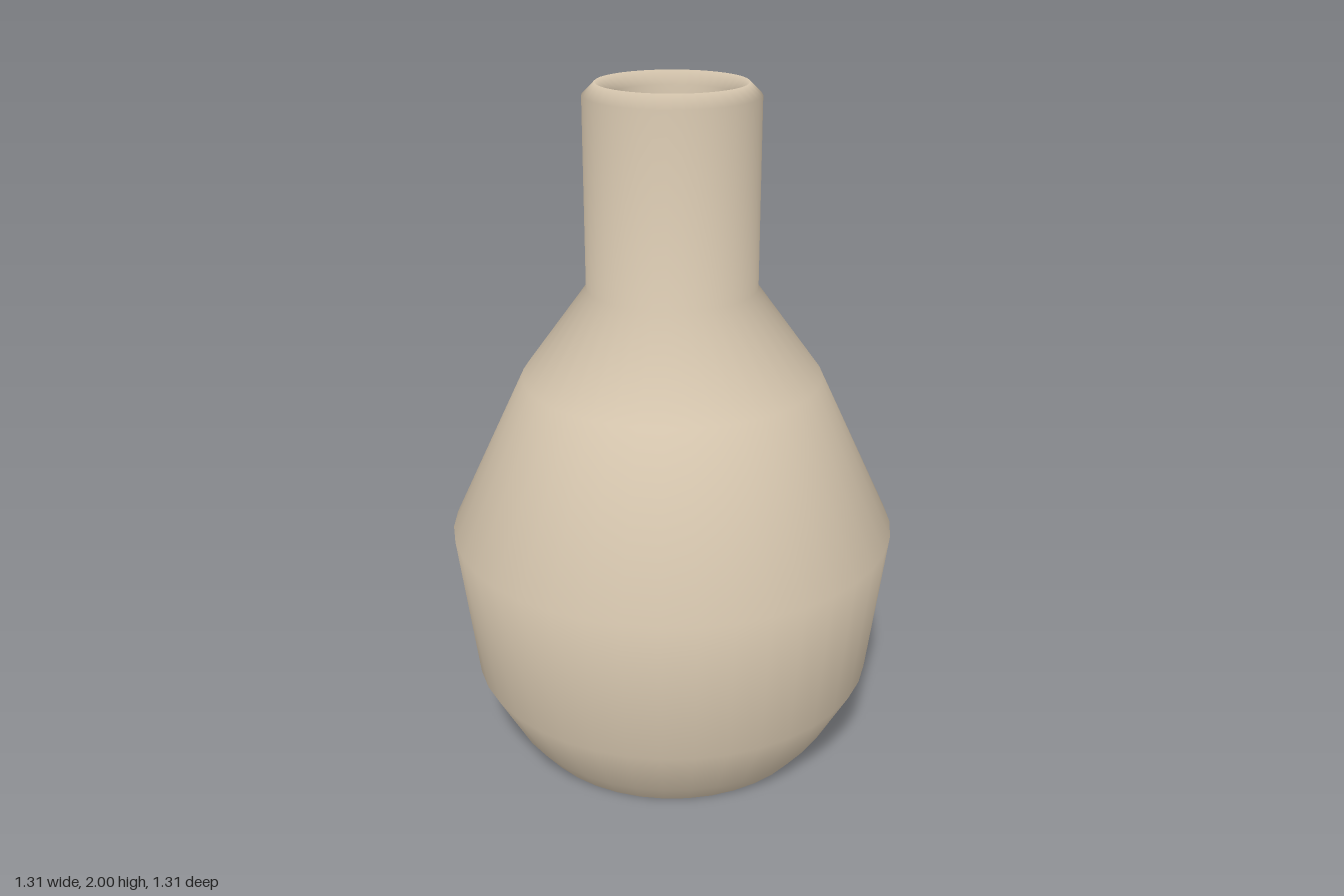
import * as THREE from 'three';

const SEGMENTS = 40;

// Turn a list of [radius, height] pairs around the y axis
function turn(name, profile, material) {
  const points = profile.map(([r, y]) => new THREE.Vector2(r, y));
  const mesh = new THREE.Mesh(new THREE.LatheGeometry(points, SEGMENTS), material);
  mesh.name = name;
  return mesh;
}

export function createModel() {
  const clay = new THREE.MeshStandardMaterial({ color: 0xd8c8b0 });

  // Outer wall, from the foot up to the bevelled lip
  const outer = [
    [0.45, 0], [0.505, 0.07], [0.603, 0.25], [0.657, 0.7],
    [0.435, 1.17], [0.245, 1.43], [0.245, 1.965], [0.21, 2],
  ];

  // Inner wall, from the lip down to the floor
  const inner = [
    [0.17, 1.965], [0.17, 1.41], [0.36, 1.14],
    [0.58, 0.7], [0.53, 0.27], [0.43, 0.1], [0, 0.1],
  ];

  const group = new THREE.Group();
  group.name = 'vase';
  group.add(
    turn('vaseBody', [...outer, ...inner], clay),
    // Slightly hollowed underside
    turn('base', [[0, 0.03], [0.45, 0]], clay),
  );
  return group;
}
